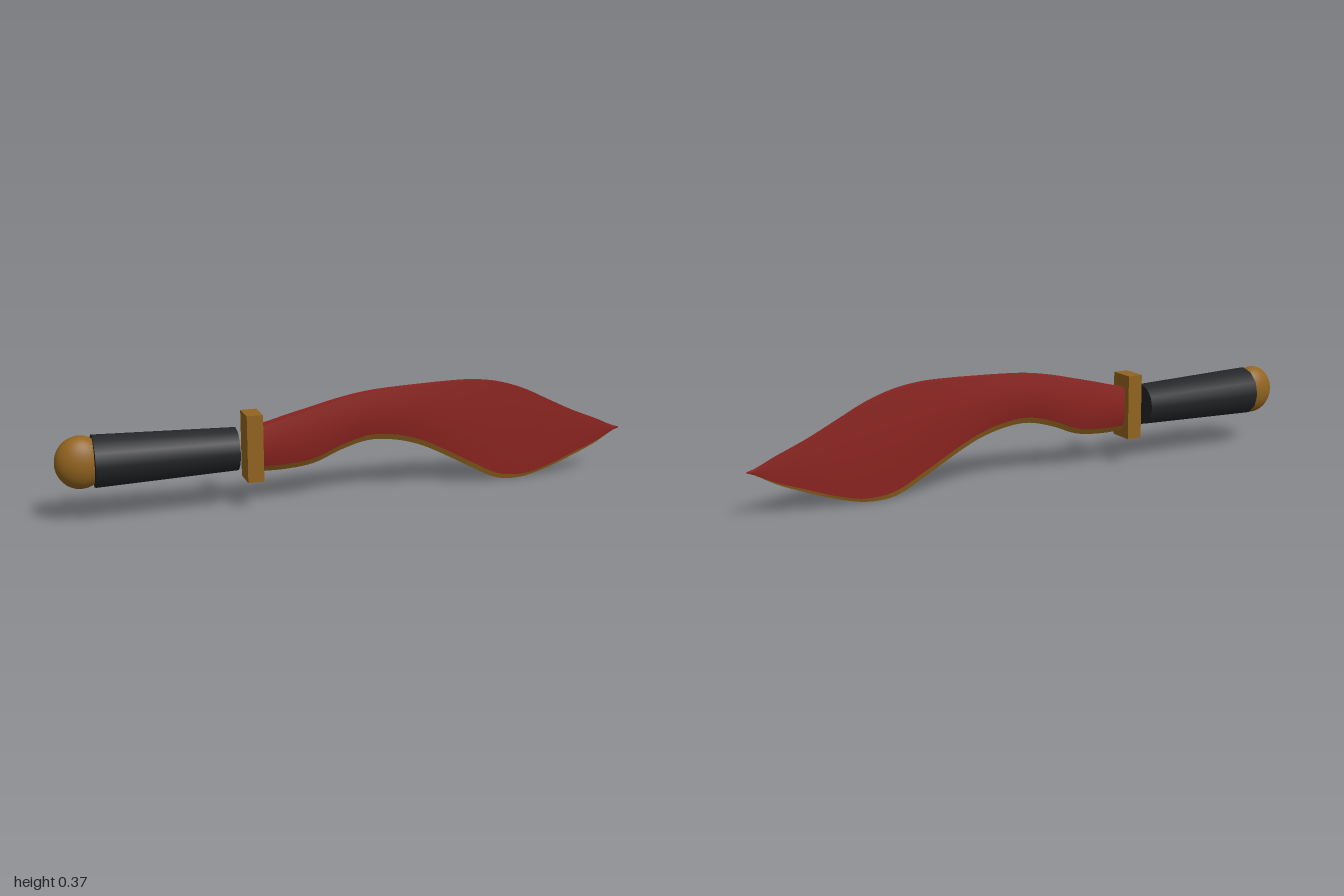
import * as THREE from 'three';
import { toCreasedNormals } from 'three/addons/utils/BufferGeometryUtils.js';

const red = new THREE.MeshStandardMaterial({ color: 0x8c2420, side: THREE.DoubleSide });
const gold = new THREE.MeshStandardMaterial({ color: 0x92641f, side: THREE.DoubleSide });
const black = new THREE.MeshStandardMaterial({ color: 0x232427 });

const X0 = -0.345, X1 = 1, STEPS = 64;

// Outline heights at even steps along the blade
const toCurve = (ys) => new THREE.SplineCurve(ys.map((y, i) => new THREE.Vector2(i, y)));
const spine = toCurve([0.275, 0.298, 0.322, 0.345, 0.361, 0.368, 0.372, 0.375,
  0.374, 0.36, 0.329, 0.283, 0.237, 0.198, 0.159]);
const edge = toCurve([0.118, 0.118, 0.13, 0.168, 0.192, 0.185, 0.157, 0.11,
  0.058, 0.012, 0.006, 0.029, 0.064, 0.105, 0.156]);

// Half cross-section at t: [y, halfWidth] from the cutting edge up to the spine
function section(t) {
  const x = X0 + (X1 - X0) * t;
  const top = spine.getPoint(t).y, low = edge.getPoint(t).y, h = top - low;
  const w = 0.026 - 0.024 * Math.pow(t, 1.15);
  const bevel = Math.min(0.02, 0.13 * h) * (1 - 0.5 * THREE.MathUtils.smoothstep(x, 0.45, 0.7));
  const half = [[low, 0], [low + bevel, 0.5 * w], [low + 0.3 * h, 0.85 * w],
    [low + 0.55 * h, w], [low + 0.8 * h, 0.93 * w], [top, 0.75 * w]];
  return { x, half };
}

// Skin a row of section points along the blade; pick() lists [y, z] pairs
function skin(pick) {
  const pos = [], index = [];
  let n = 0;
  for (let i = 0; i <= STEPS; i++) {
    const { x, half } = section(i / STEPS);
    const row = pick(half);
    n = row.length;
    row.forEach(([y, z]) => pos.push(x, y, z));
  }
  for (let i = 0; i < STEPS; i++) {
    for (let j = 0; j < n - 1; j++) {
      const a = i * n + j, b = a + n;
      index.push(a, b, b + 1, a, b + 1, a + 1);
    }
  }
  const geo = new THREE.BufferGeometry();
  geo.setAttribute('position', new THREE.Float32BufferAttribute(pos, 3));
  geo.setIndex(index);
  return toCreasedNormals(geo, 0.6);
}

export function createModel() {
  const group = new THREE.Group();
  const add = (name, geo, mat, x = 0, y = 0) => {
    const mesh = new THREE.Mesh(geo, mat);
    mesh.name = name;
    mesh.position.set(x, y, 0);
    group.add(mesh);
    return mesh;
  };
  const back = ([y, z]) => [y, -z];

  // Blade body: up the front, across the spine, down the back
  add('blade', skin((s) => [...s.slice(1), ...s.slice(1).reverse().map(back)]), red);
  // Sharpened bevel under the blade
  add('cuttingEdge', skin((s) => [back(s[1]), s[0], s[1]]), gold);

  // Guard plate
  add('guard', new THREE.BoxGeometry(0.054, 0.225, 0.092), gold, -0.365, 0.2075);

  // Grip, widening toward the pommel
  const grip = new THREE.CylinderGeometry(0.073, 0.087, 0.46, 12);
  grip.rotateZ(-Math.PI / 2);
  add('grip', grip, black, -0.65, 0.203);

  // Pommel, flattened front to back
  const pommel = add('pommel', new THREE.SphereGeometry(1, 32, 20), gold, -0.92, 0.203);
  pommel.scale.set(0.08, 0.086, 0.058);

  return group;
}
